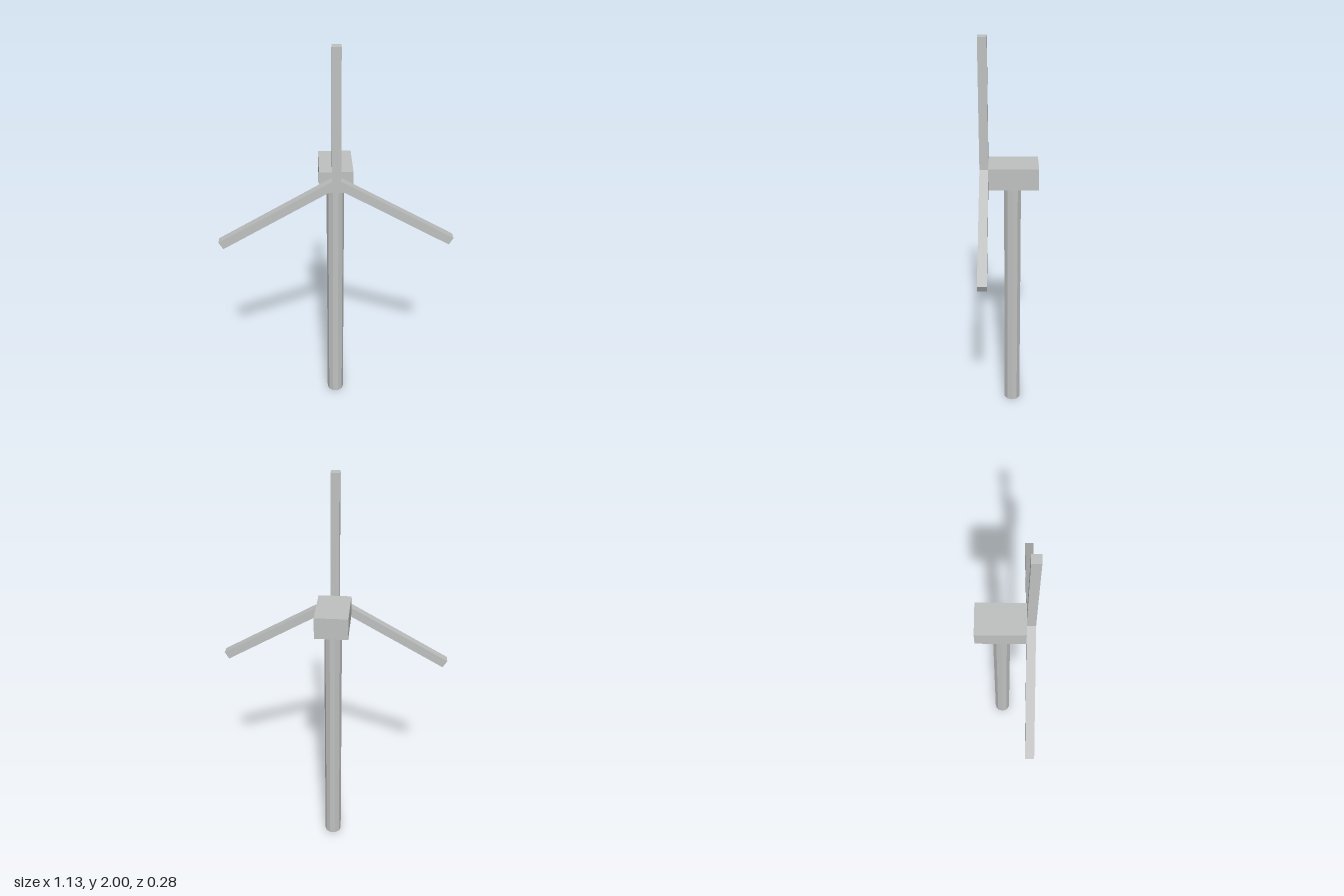
import * as THREE from 'three';

export function createModel() {
  const model = new THREE.Group();
  model.name = 'windTurbine';
  const grey = new THREE.MeshStandardMaterial({ color: 0xbfc1c0, flatShading: true });
  grey.name = 'light grey';

  const add = (name, geometry, x, y, z) => {
    const mesh = new THREE.Mesh(geometry, grey);
    mesh.name = name;
    mesh.position.set(x, y, z);
    model.add(mesh);
    return mesh;
  };

  // Ten-sided tower with corners on the x axis
  add('tower', new THREE.CylinderGeometry(0.043, 0.043, 1.29, 10), 0, 0.645, -0.018)
    .rotation.y = Math.PI / 10;

  // Generator housing
  add('nacelle', new THREE.BoxGeometry(0.16, 0.108, 0.239), 0, 1.344, -0.0225);

  // Three square blades joined in one Y-shaped rotor
  const half = 0.021, length = 0.642;
  const points = [];
  for (let i = 0; i < 3; i++) {
    const turn = (i * 2 * Math.PI) / 3;
    const origin = new THREE.Vector2();
    points.push(
      new THREE.Vector2(half, length).rotateAround(origin, turn),
      new THREE.Vector2(-half, length).rotateAround(origin, turn),
      new THREE.Vector2(-half, half / Math.sqrt(3)).rotateAround(origin, turn), // notch to the next blade
    );
  }
  const rotor = new THREE.ExtrudeGeometry(new THREE.Shape(points), { depth: 0.043, bevelEnabled: false });
  add('rotorBlades', rotor, 0, 2 - length, 0.097);

  return model;
}
